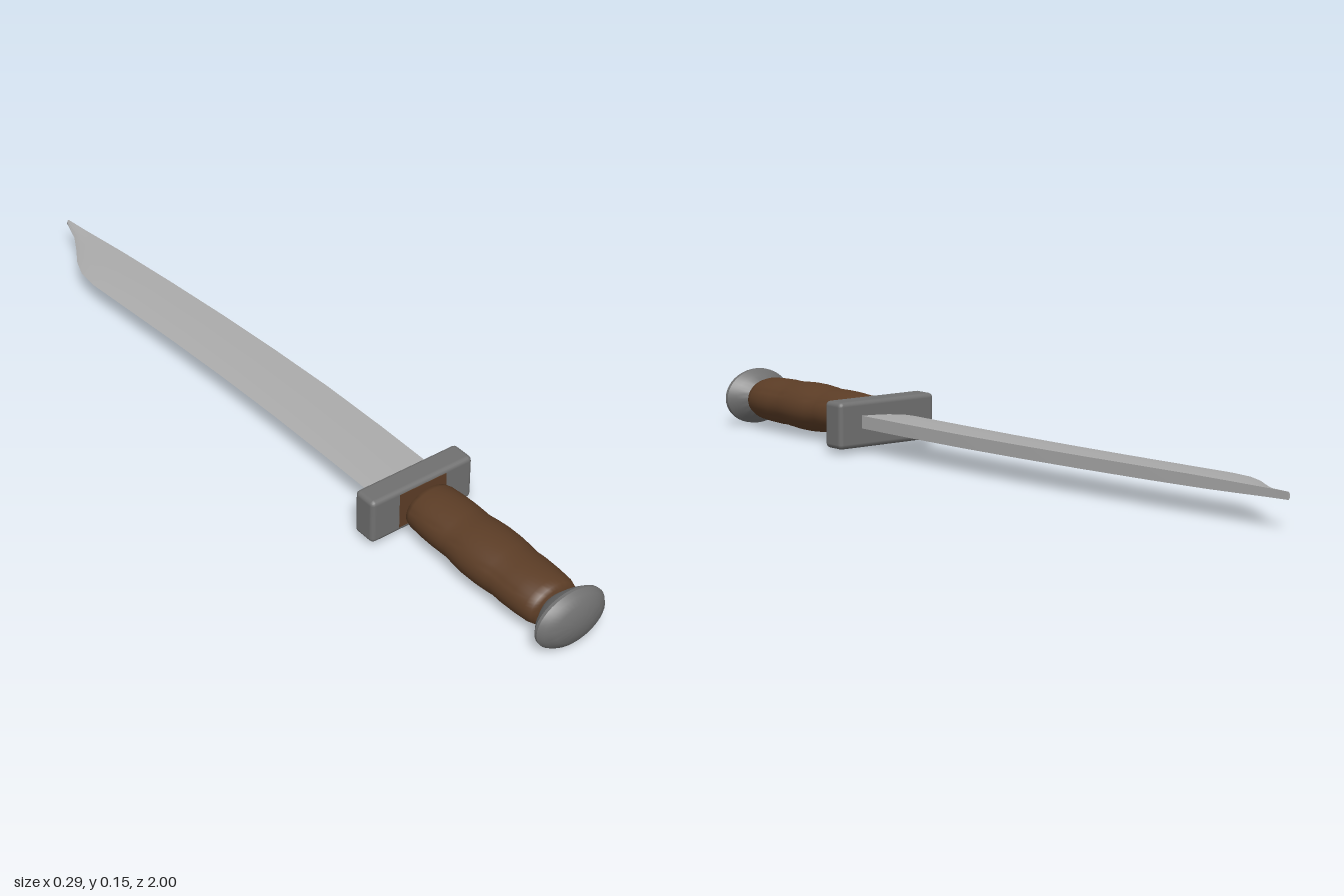
import * as THREE from 'three';
import { toCreasedNormals } from 'three/addons/utils/BufferGeometryUtils.js';
import { RoundedBoxGeometry } from 'three/addons/geometries/RoundedBoxGeometry.js';

const AXIS_Y = 0.075;

// Oval turned part lying along z; profile points are [radius, z]
function ovalTurned(profile, squash, crease) {
  const g = new THREE.LatheGeometry(profile.map(([r, z]) => new THREE.Vector2(r, z)), 40);
  g.rotateX(Math.PI / 2).scale(1, squash, 1).translate(0, AXIS_Y, 0);
  return toCreasedNormals(g, crease);
}

// Wedge-shaped blade lofted through stations of [z, cutting edge x, spine x]
function bladeGeometry() {
  const stations = [
    [0.42, -0.083, 0.08], [0.2, -0.083, 0.08], [0, -0.085, 0.076], [-0.2, -0.091, 0.065],
    [-0.4, -0.101, 0.05], [-0.6, -0.114, 0.031], [-0.72, -0.122, 0.018], [-0.78, -0.117, 0.012],
    [-0.83, -0.098, 0.006], [-0.88, -0.068, 0], [-0.93, -0.041, -0.006], [-1, -0.018, -0.013],
  ];
  const section = [[0, 0], [0.2, 0.42], [0.5, 0.75], [0.8, 0.94], [1, 1],
    [1, -1], [0.8, -0.94], [0.5, -0.75], [0.2, -0.42]];
  const n = section.length, pos = [], idx = [];
  stations.forEach(([z, edge, spine], i) => {
    const half = 0.016 - 0.007 * (i / (stations.length - 1)) ** 2;
    section.forEach(([f, h]) => pos.push(edge + (spine - edge) * f, 0.08 + half * h, z));
    if (i === 0) return;
    for (let j = 0; j < n; j++) {
      const k = (j + 1) % n, a = (i - 1) * n, b = i * n;
      idx.push(a + j, a + k, b + k, a + j, b + k, b + j);
    }
  });
  // Close both ends
  const last = (stations.length - 1) * n;
  for (let j = 1; j < n - 1; j++) idx.push(0, j + 1, j, last, last + j, last + j + 1);
  const g = new THREE.BufferGeometry();
  g.setAttribute('position', new THREE.Float32BufferAttribute(pos, 3));
  g.setIndex(idx);
  return toCreasedNormals(g, 0.7);
}

export function createModel() {
  const model = new THREE.Group();
  model.name = 'knife';
  const material = (name, color) => {
    const m = new THREE.MeshStandardMaterial({ color });
    m.name = name;
    return m;
  };
  const steel = material('blade steel', 0xaaaaaa);
  const iron = material('dark fittings', 0x707070);
  const wood = material('brown grip', 0x5c3d26);
  const add = (name, geometry, mat) => {
    const mesh = new THREE.Mesh(geometry, mat);
    mesh.name = name;
    model.add(mesh);
  };

  add('blade', bladeGeometry(), steel);

  // Cross guard with small bevels
  const guard = new RoundedBoxGeometry(0.294, 0.118, 0.066, 2, 0.012);
  add('guard', guard.translate(0, 0.074, 0.422), iron);

  // Brown inset on the guard, facing the grip
  const inset = new THREE.BoxGeometry(0.136, 0.094, 0.006);
  add('gripSeat', inset.translate(0, AXIS_Y, 0.453), wood);

  // Grip with three soft swells
  add('grip', ovalTurned([
    [0, 0.472], [0.058, 0.472], [0.067, 0.477], [0.071, 0.49], [0.074, 0.53], [0.075, 0.57],
    [0.074, 0.605], [0.0735, 0.62], [0.077, 0.645], [0.08, 0.68], [0.08, 0.72], [0.077, 0.76],
    [0.0745, 0.78], [0.076, 0.81], [0.075, 0.85], [0.072, 0.89], [0.066, 0.908], [0.056, 0.915], [0, 0.915],
  ], 0.77, 0.8), wood);

  // Flared oval pommel
  add('pommel', ovalTurned([
    [0, 0.91], [0.04, 0.912], [0.055, 0.922], [0.08, 0.94], [0.097, 0.957], [0.098, 0.965],
    [0.088, 0.978], [0.065, 0.99], [0.035, 0.997], [0, 1],
  ], 0.74, 0.5), iron);

  return model;
}
